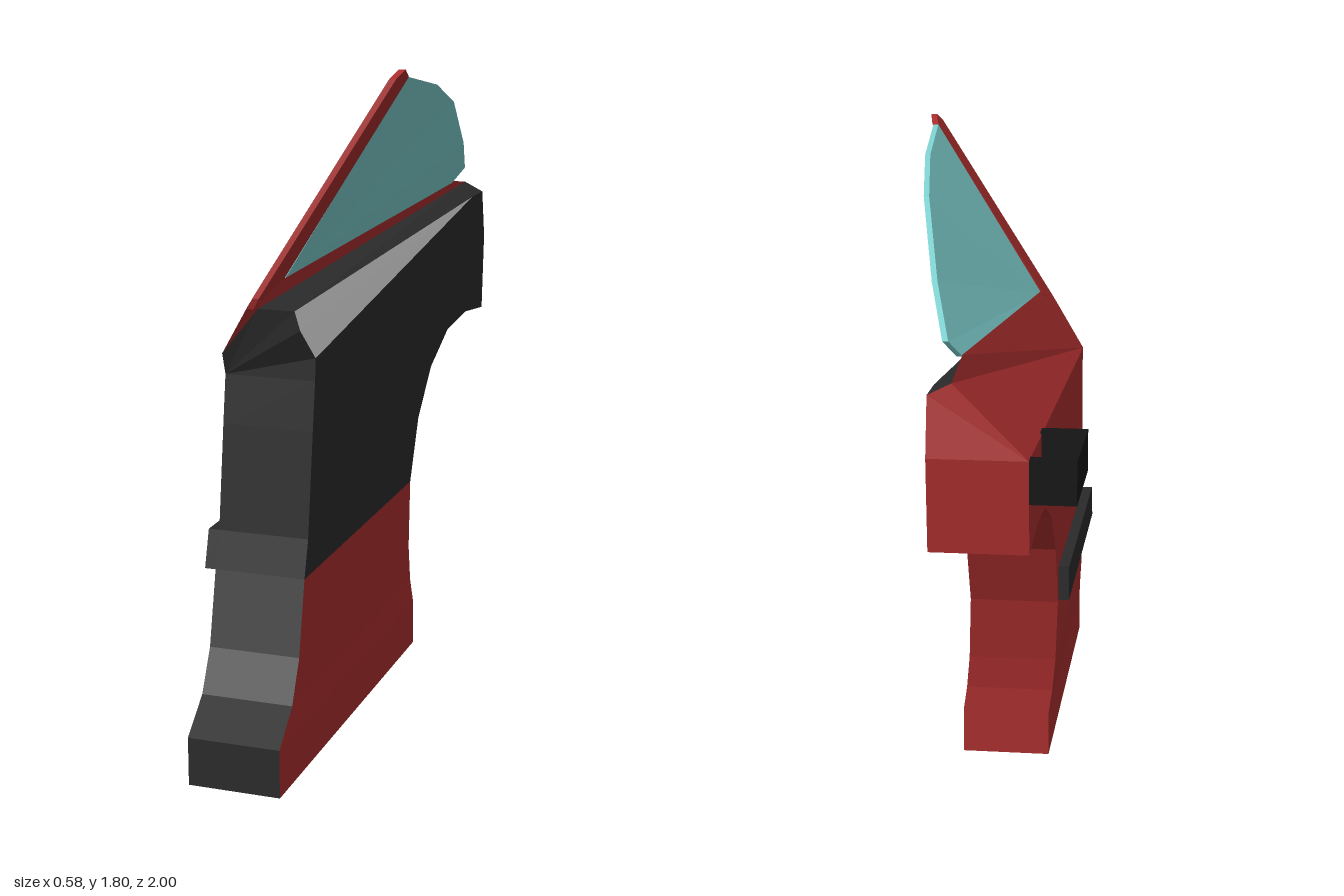
import * as THREE from 'three';

const RED = 0xa82d2d, BLACK = 0x2a2a2a, GLASS = 0x7fd0d0, GREY = 0xcccccc;
const OUT = -0.17, IN = 0.08; // outer and inner skin

// Collects polygons as triangles, each turned to face its outward hint
class Skin {
  constructor() { this.pos = []; }
  tri(a, b, c, hint) {
    const [A, B, C] = [a, b, c].map(p => new THREE.Vector3(...p));
    const n = B.clone().sub(A).cross(C.clone().sub(A));
    if (n.dot(new THREE.Vector3(...hint)) < 0) [B, C] .reverse().forEach((v, i) => i ? this.c = v : this.b = v);
    else { this.b = B; this.c = C; }
    for (const v of [A, this.b, this.c]) this.pos.push(v.x, v.y, v.z);
  }
  fan(pts, hint) {
    for (let i = 1; i < pts.length - 1; i++) this.tri(pts[0], pts[i], pts[i + 1], hint);
    return this;
  }
  // flat panel of any outline [z, y] at one x
  panel(zy, x) {
    const v = zy.map(p => new THREE.Vector2(...p));
    for (const f of THREE.ShapeUtils.triangulateShape(v, []))
      this.tri(...f.map(i => [x, zy[i][1], zy[i][0]]), [Math.sign(x), 0, 0]);
    return this;
  }
  // thin plate: points [x, y, z], thickened along x
  slab(pts, dx) {
    const far = pts.map(([x, y, z]) => [x + dx, y, z]);
    this.fan(far, [1, 0, 0]).fan(pts, [-1, 0, 0]);
    const mid = [1, 2].map(k => pts.reduce((s, p) => s + p[k], 0) / pts.length);
    pts.forEach((p, i) => {
      const j = (i + 1) % pts.length, q = pts[j];
      this.fan([p, q, far[j], far[i]], [0, (p[1] + q[1]) / 2 - mid[0], (p[2] + q[2]) / 2 - mid[1]]);
    });
    return this;
  }
  mesh(name, color) {
    const g = new THREE.BufferGeometry();
    g.setAttribute('position', new THREE.Float32BufferAttribute(this.pos, 3));
    g.computeVertexNormals();
    const m = new THREE.Mesh(g, new THREE.MeshStandardMaterial({ color, flatShading: true, side: THREE.DoubleSide }));
    m.name = name;
    return m;
  }
}

export function createModel() {
  const door = new THREE.Group();
  door.name = 'vehicleDoor';

  // Lower rows: y, front z, rear z, sideways shift
  const rows = [
    [0.01, 1.0, -0.13, 0.03], [0.14, 1.0, -0.13, 0.03], [0.21, 0.88, -0.13, 0.02],
    [0.31, 0.8, -0.145, 0.01], [0.5, 0.73, -0.19, 0],
  ];
  // Upper edges [z, y]: front edge and wheel arch
  const front = [[0.73, 0.5], [0.7, 0.6], [0.66, 0.88], [0.64, 1.01]];
  const arch = [[-0.19, 0.5], [-0.27, 0.68], [-0.4, 0.81], [-0.58, 0.89], [-0.78, 0.905], [-0.98, 0.88]];
  const archDown = [...arch].reverse();

  // Beltline corners
  const outerFront = [OUT, 1.07, 0.66], outerRear = [OUT, 1.12, -1];
  const ridge = [0.02, 1.3, -0.97], innerRear = [IN, 1.27, -0.97], wedgeTip = [IN, 1.27, -0.85];
  const sill = [-0.06, 1.2, 0.68], wedgeTop = [0.04, 1.2, 0.68];
  const wedgeMid = [0.055, 1.15, 0.68], wedgeLow = [IN, 1.07, 0.635];
  const frameTop = [-0.05, 1.26, 0.69], frameRear = [0.02, 1.33, -0.77];

  const outer = new Skin(), innerLow = new Skin(), edge = new Skin(), rear = new Skin();
  for (let i = 0; i < rows.length - 1; i++) {
    const [[y0, f0, r0, s0], [y1, f1, r1, s1]] = [rows[i], rows[i + 1]];
    outer.fan([[OUT + s0, y0, f0], [OUT + s0, y0, r0], [OUT + s1, y1, r1], [OUT + s1, y1, f1]], [-1, 0, 0]);
    innerLow.fan([[IN + s0, y0, f0], [IN + s0, y0, r0], [IN + s1, y1, r1], [IN + s1, y1, f1]], [1, 0, 0]);
    edge.fan([[OUT + s0, y0, f0], [IN + s0, y0, f0], [IN + s1, y1, f1], [OUT + s1, y1, f1]], [0, 0.5, 1]);
    rear.fan([[OUT + s0, y0, r0], [IN + s0, y0, r0], [IN + s1, y1, r1], [OUT + s1, y1, r1]], [0, -0.5, -1]);
  }

  // Outer skin with the sloping shoulder below the window
  outer.panel([...front, [0.66, 1.07], [-1, 1.12], ...archDown], OUT);
  outer.fan([outerFront, [-0.08, 1.21, 0.7], frameTop, frameRear, ridge, outerRear], [-1, 1, 0]);
  door.add(outer.mesh('outerSkin', RED));

  // Inner side: red kick panel, dark lining and sill
  door.add(innerLow.mesh('kickPanel', RED));
  const lining = new Skin().panel([...front, [0.635, 1.07], [-0.85, 1.27], [-0.97, 1.27], [-1, 1.12], ...archDown], IN);
  lining.fan([ridge, sill, wedgeTop, wedgeTip, innerRear], [0, 1, 0]);
  door.add(lining.mesh('innerLining', BLACK));
  door.add(new Skin().fan([wedgeTop, wedgeMid, wedgeTip], [1, 1, 0])
    .fan([wedgeMid, wedgeLow, wedgeTip], [1, 1, 0]).mesh('armrestWedge', GREY));

  // Dark front edge and underside
  for (let i = 0; i < front.length - 1; i++) {
    const [[z0, y0], [z1, y1]] = [front[i], front[i + 1]];
    edge.fan([[OUT, y0, z0], [IN, y0, z0], [IN, y1, z1], [OUT, y1, z1]], [0, 0, 1]);
  }
  edge.fan([[OUT, 1.01, 0.64], [IN, 1.01, 0.64], wedgeLow, wedgeMid, wedgeTop, sill, outerFront], [0, 0, 1]);
  edge.fan([[-0.14, 0.01, 1], [0.11, 0.01, 1], [0.11, 0.01, -0.13], [-0.14, 0.01, -0.13]], [0, -1, 0]);
  door.add(edge.mesh('frontEdge', BLACK));

  // Wheel arch and rear end
  for (let i = 0; i < arch.length - 1; i++) {
    const [[z0, y0], [z1, y1]] = [arch[i], arch[i + 1]];
    rear.fan([[OUT, y0, z0], [IN, y0, z0], [IN, y1, z1], [OUT, y1, z1]], [0, -1, -0.5]);
  }
  rear.fan([[OUT, 0.88, -0.98], [IN, 0.88, -0.98], [IN, 1.12, -1], outerRear], [0, 0, -1]);
  rear.fan([outerRear, [IN, 1.12, -1], innerRear, ridge], [0, 0, -1]);
  door.add(rear.mesh('archAndRearEnd', RED));

  // Leaning window frame and glass
  const lean = (z, y) => [OUT + (y - 1.06) * 0.6, y, z];
  door.add(new Skin().fan([sill, frameTop, frameRear, ridge], [1, 0.3, 0]).mesh('windowRail', RED));
  door.add(new Skin().slab([lean(0.56, 1.26), lean(0.69, 1.2), lean(0.7, 1.23), lean(0.605, 1.79),
    lean(0.565, 1.81), lean(0.49, 1.785)], 0.018).mesh('windowPillar', RED));
  door.add(new Skin().slab([[-0.045, 1.26, 0.56], [0.265, 1.785, 0.49], [0.235, 1.73, 0.13], [0.19, 1.65, -0.19],
    [0.11, 1.48, -0.58], [0.05, 1.37, -0.81], [0.02, 1.325, -0.77]], 0.015).mesh('windowGlass', GLASS));

  // Rubbing strip on the outside
  door.add(new Skin().slab([[-0.2, 0.5, 0.73], [-0.2, 0.6, 0.7], [-0.2, 0.6, -0.17], [-0.2, 0.5, -0.17]], 0.03)
    .mesh('rubbingStrip', BLACK));

  // Handle: two posts and a grip
  const handle = new THREE.Group();
  handle.name = 'doorHandle';
  const black = new THREE.MeshStandardMaterial({ color: 0x141414, flatShading: true });
  for (const [name, w, d, x, z] of [['handleGrip', 0.035, 0.34, -0.268, -0.82],
    ['handlePostFront', 0.085, 0.04, -0.21, -0.67], ['handlePostRear', 0.085, 0.04, -0.21, -0.97]]) {
    const m = new THREE.Mesh(new THREE.BoxGeometry(w, 0.11, d), black);
    m.position.set(x, 1.065, z);
    m.name = name;
    handle.add(m);
  }
  door.add(handle);
  return door;
}
